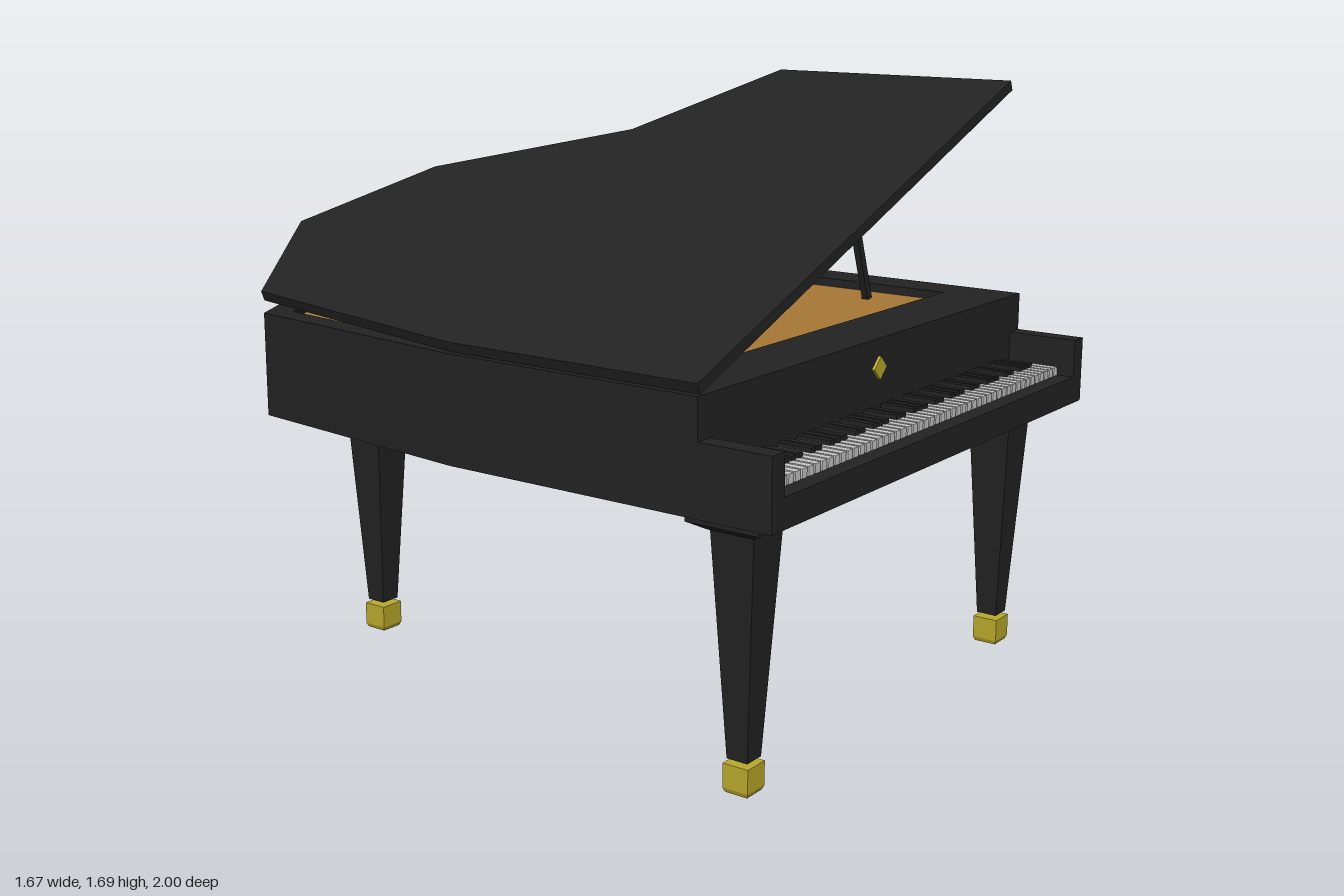
import * as THREE from 'three';

const mat = (name, color) => {
  const m = new THREE.MeshStandardMaterial({ color });
  m.name = name;
  return m;
};

export function createModel() {
  const black = mat('black lacquer', 0x222222);
  const wood = mat('soundboard wood', 0xa67634);
  const gold = mat('brass', 0xb8a82c);
  const ivory = mat('ivory', 0xc8c8c8);

  const model = new THREE.Group();
  model.name = 'grandPiano';

  const add = (name, geo, material, x = 0, y = 0, z = 0, parent = model) => {
    const m = new THREE.Mesh(geo, material);
    m.name = name;
    m.position.set(x, y, z);
    parent.add(m);
    return m;
  };
  // box given by its limits
  const box = (name, material, x0, x1, y0, y1, z0, z1, parent) =>
    add(name, new THREE.BoxGeometry(x1 - x0, y1 - y0, z1 - z0), material,
      (x0 + x1) / 2, (y0 + y1) / 2, (z0 + z1) / 2, parent);
  // plan outline in (x, z), raised along y
  const points = (pts, dx = 0) => pts.map(([x, z]) => new THREE.Vector2(x + dx, -z));
  const slab = (pts, height, hole, dx) => {
    const shape = new THREE.Shape(points(pts, dx));
    if (hole) shape.holes.push(new THREE.Path(points(hole)));
    return new THREE.ExtrudeGeometry(shape, { depth: height, bevelEnabled: false }).rotateX(-Math.PI / 2);
  };

  const outline = [[-0.835, 0.79], [0.835, 0.79], [0.835, 0], [0.375, -0.26],
    [0.04, -0.79], [-0.36, -1], [-0.745, -0.79], [-0.835, 0]];
  const inner = [[-0.73, 0.6], [0.71, 0.6], [0.71, 0.03], [0.315, -0.2],
    [0.0, -0.72], [-0.36, -0.92], [-0.68, -0.74], [-0.76, 0]];

  // case, raised rim and soundboard
  add('caseBody', slab(outline, 0.27), black, 0, 0.745, 0);
  add('caseRim', slab(outline, 0.03, inner), black, 0, 1.015, 0);
  add('soundboard', slab(inner, 0.005), wood, 0, 1.015, 0);

  // raised lid, hinged along the straight side
  const lid = add('lid', slab(outline, 0.03, null, 0.835), black, -0.825, 1.048, 0);
  lid.rotation.z = THREE.MathUtils.degToRad(21.4);

  // lid prop
  const top = new THREE.Vector2(0.417, 1.545), foot = new THREE.Vector2(0.6, 1.02);
  const prop = add('lidProp', new THREE.BoxGeometry(0.025, top.distanceTo(foot), 0.02), black,
    (top.x + foot.x) / 2, (top.y + foot.y) / 2, 0.4);
  prop.rotation.z = Math.atan2(foot.x - top.x, top.y - foot.y);

  // key bed, front slip and cheeks
  box('keyBed', black, -0.835, 0.835, 0.745, 0.825, 0.79, 1);
  for (const s of [-1, 1]) {
    const c = s * 0.808;
    box('keyCheek', black, c - 0.027, c + 0.027, 0.825, 0.935, 0.79, 1);
  }

  // keyboard: 52 white keys, black keys between them
  const keys = new THREE.Group();
  keys.name = 'keyboard';
  model.add(keys);
  const count = 52, pitch = 1.56 / count;
  for (let i = 0; i < count; i++) {
    const x = -0.78 + i * pitch;
    box('whiteKey', ivory, x + 0.004, x + pitch - 0.004, 0.825, 0.85, 0.79, 0.95, keys);
    // no black key after the third and seventh of each octave
    if (i < count - 1 && ![1, 4].includes(i % 7)) {
      box('blackKey', black, x + pitch - 0.01, x + pitch + 0.01, 0.825, 0.862, 0.79, 0.89, keys);
    }
  }

  // diamond ornament on the front panel
  const diamond = add('diamondOrnament', new THREE.BoxGeometry(0.046, 0.046, 0.009), gold, 0, 0.965, 0.794);
  diamond.rotation.z = Math.PI / 4;

  // square tapered section from half-widths
  const taper = (topHalf, bottomHalf, height) => new THREE.CylinderGeometry(
    topHalf * Math.SQRT2, bottomHalf * Math.SQRT2, height, 4, 1).rotateY(Math.PI / 4).toNonIndexed();
  const section = (name, material, y0, y1, bottomHalf, topHalf, parent) => {
    const g = taper(topHalf, bottomHalf, y1 - y0);
    g.computeVertexNormals();
    add(name, g, material, 0, (y0 + y1) / 2, 0, parent);
  };

  // three legs with flared capitals and brass feet
  for (const [name, x, z] of [['frontLeftLeg', 0.672, 0.82], ['frontRightLeg', -0.668, 0.82], ['backLeg', -0.355, -0.74]]) {
    const leg = new THREE.Group();
    leg.name = name;
    leg.position.set(x, 0, z);
    model.add(leg);
    section('legCapital', black, 0.712, 0.745, 0.108, 0.108, leg);
    section('legFlare', black, 0.69, 0.712, 0.07, 0.108, leg);
    section('legShaft', black, 0.09, 0.69, 0.031, 0.064, leg);
    section('brassFoot', gold, 0.012, 0.078, 0.038, 0.038, leg);
    section('brassFootBevel', gold, 0, 0.012, 0.033, 0.038, leg);
  }

  return model;
}
